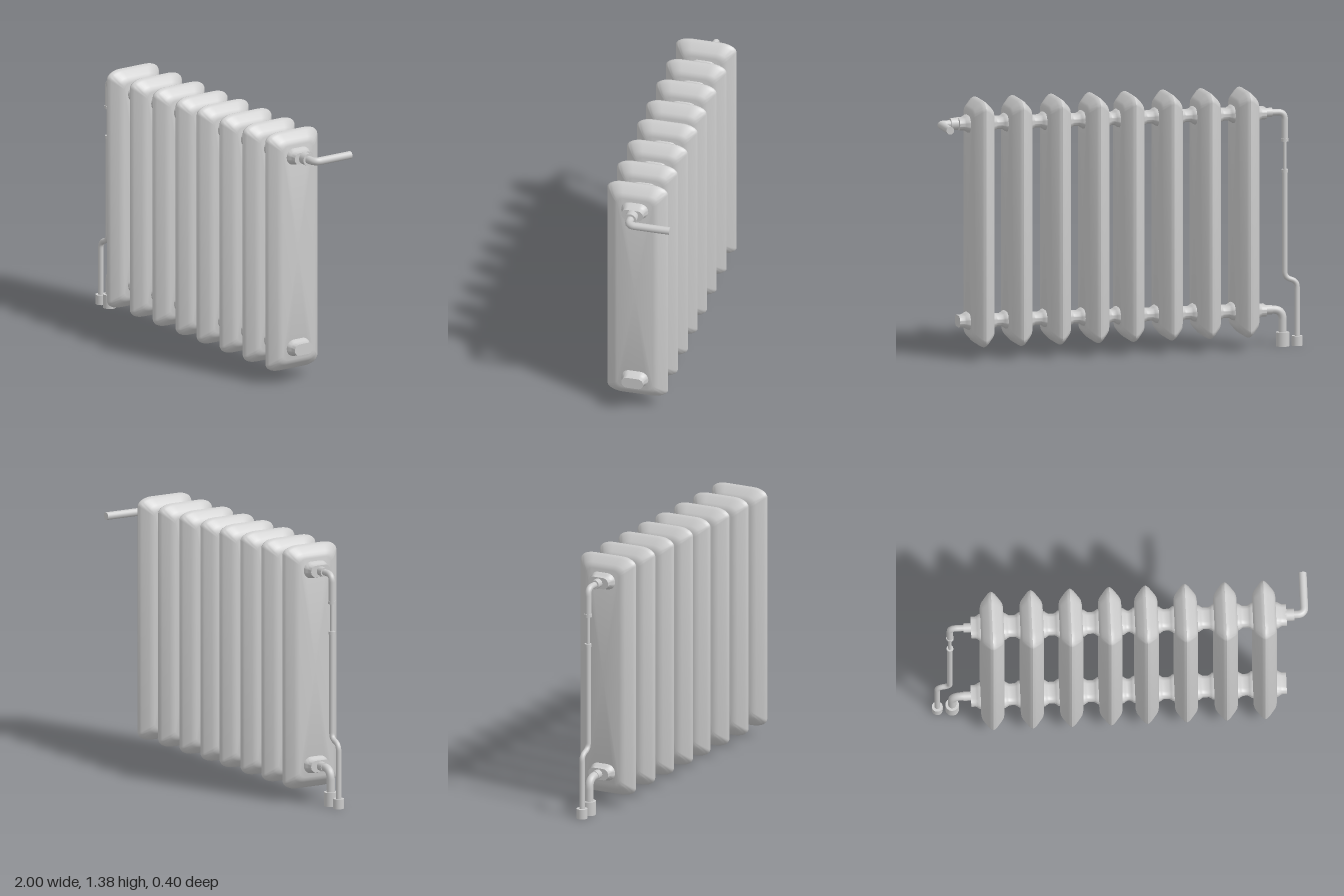
import * as THREE from 'three';
import { toCreasedNormals } from 'three/addons/utils/BufferGeometryUtils.js';

const Z = 0.032, TOP = 1.255, LOW = 0.197;
const material = new THREE.MeshStandardMaterial({ color: 0xcccccc });

// Closed loft along x; each station is [x, halfDepth, halfHeight, cornerZ, cornerY]
function loft(stations, crease) {
  const steps = 8, n = 4 * (steps + 1), pos = [], idx = [];
  for (const [x, hz, hy, rz, ry] of stations) {
    for (let q = 0; q < 4; q++) {
      const sy = q === 0 || q === 3 ? 1 : -1, sz = q < 2 ? 1 : -1;
      for (let k = 0; k <= steps; k++) {
        const a = (q + k / steps) * Math.PI / 2;
        pos.push(x, sy * (hy - ry) + ry * Math.cos(a), sz * (hz - rz) + rz * Math.sin(a));
      }
    }
  }
  const last = stations.length - 1, c0 = pos.length / 3;
  pos.push(stations[0][0], 0, 0, stations[last][0], 0, 0);
  for (let j = 0; j < n; j++) {
    const k = (j + 1) % n;
    for (let i = 0; i < last; i++) {
      const a = i * n + j, b = i * n + k;
      idx.push(a, b, b + n, a, b + n, a + n);
    }
    idx.push(c0, k, j, c0 + 1, last * n + j, last * n + k);
  }
  const g = new THREE.BufferGeometry();
  g.setAttribute('position', new THREE.Float32BufferAttribute(pos, 3));
  g.setIndex(idx);
  return toCreasedNormals(g, crease);
}

export function createModel() {
  const model = new THREE.Group();
  model.name = 'radiator';

  function add(name, geometry, x = 0, y = 0, z = 0) {
    const mesh = new THREE.Mesh(geometry, material);
    mesh.name = name;
    mesh.position.set(x, y, z);
    model.add(mesh);
    return mesh;
  }

  // Round collar, upright or lying along x
  function collar(name, r, length, x, y, alongX = false) {
    const mesh = add(name, new THREE.CylinderGeometry(r, r, length, 24), x, y, Z);
    if (alongX) mesh.rotation.z = Math.PI / 2;
  }

  // Pipe through corner points with rounded bends and a capped end
  function pipe(name, points, r, bend) {
    const p = points.map(a => new THREE.Vector3(...a));
    const path = new THREE.CurvePath();
    let from = p[0];
    for (let i = 1; i < p.length - 1; i++) {
      const into = p[i].clone().add(p[i - 1].clone().sub(p[i]).setLength(bend));
      const out = p[i].clone().add(p[i + 1].clone().sub(p[i]).setLength(bend));
      path.add(new THREE.LineCurve3(from, into));
      path.add(new THREE.QuadraticBezierCurve3(into, p[i], out));
      from = out;
    }
    const end = p[p.length - 1];
    path.add(new THREE.LineCurve3(from, end));
    add(name, new THREE.TubeGeometry(path, 120, r, 16));
    const cap = add(name + 'End', new THREE.CircleGeometry(r, 16), end.x, end.y, end.z);
    cap.lookAt(end.clone().multiplyScalar(2).sub(from));
  }

  // Ridged columns: [x, inset] across half of the thickness
  const half = [[0, 0], [0.009, 0.003], [0.02, 0.011], [0.048, 0.04], [0.057, 0.052], [0.0615, 0.068]];
  const profile = [...half.slice(1).reverse().map(([x, d]) => [-x, d]), ...half];
  const columnGeometry = loft(profile.map(([x, d]) =>
    [x, 0.166 - d, 0.66 - d, 0.085 - 0.7 * d, 0.045 - 0.2 * d]), 0.6);
  const centres = [-0.68, -0.47, -0.262, -0.053, 0.139, 0.348, 0.559, 0.765];
  centres.forEach(x => add('column', columnGeometry, x, 0.725, Z));

  // Oval hubs, flared where they meet a column
  const oval = (x, f) => [x, 0.06 + f, 0.031 + f, 0.031 + f, 0.031 + f];
  const face = 0.058;
  for (const y of [TOP, LOW]) {
    for (let i = 0; i < centres.length - 1; i++) {
      const a = centres[i] + face, b = centres[i + 1] - face;
      add('connector', loft([
        oval(a, 0.015), oval(a + 0.012, 0.013), oval(a + 0.021, 0.006), oval(a + 0.032, 0),
        oval(b - 0.032, 0), oval(b - 0.021, 0.006), oval(b - 0.012, 0.013), oval(b, 0.015)
      ], 0.9), 0, y, Z);
    }
    add('leftEndHub', loft([
      oval(0.82, 0.015), oval(0.836, 0.012), oval(0.848, 0.004), oval(0.858, 0), oval(0.882, 0)
    ], 0.9), 0, y, Z);
    add('rightEndHub', loft([
      oval(-0.793, 0), oval(-0.77, 0), oval(-0.76, 0.005), oval(-0.75, 0.012), oval(-0.736, 0.015)
    ], 0.9), 0, y, Z);
    collar('rightUnion', 0.025, 0.045, -0.81, y, true);
  }

  // Supply pipe on the left, turning to the back
  collar('supplyNut', 0.033, 0.045, 0.9, TOP, true);
  pipe('supplyPipe', [[0.9, TOP, Z], [0.978, TOP, Z], [0.978, TOP, -0.2]], 0.021, 0.04);

  // Tall pipe on the right, with a thin neck and a jog near the floor
  const px = -0.904, fx = -0.971;
  pipe('upperElbow', [[-0.8, TOP, Z], [px, TOP, Z], [px, 1.1, Z]], 0.017, 0.04);
  collar('upperRim', 0.02, 0.016, px, 1.105);
  collar('thinNeck', 0.009, 0.19, px, 1.02);
  collar('lowerRim', 0.018, 0.016, px, 0.94);
  pipe('tallPipe', [[px, 0.945, Z], [px, 0.367, Z], [fx, 0.345, Z], [fx, 0.02, Z]], 0.0145, 0.032);
  collar('tallPipeFoot', 0.029, 0.053, fx, 0.0265);

  // Short return pipe on the right
  pipe('returnPipe', [[-0.8, LOW, Z], [-0.892, LOW, Z], [-0.892, 0.03, Z]], 0.022, 0.055);
  collar('returnPipeFoot', 0.036, 0.075, -0.892, 0.0375);

  return model;
}
